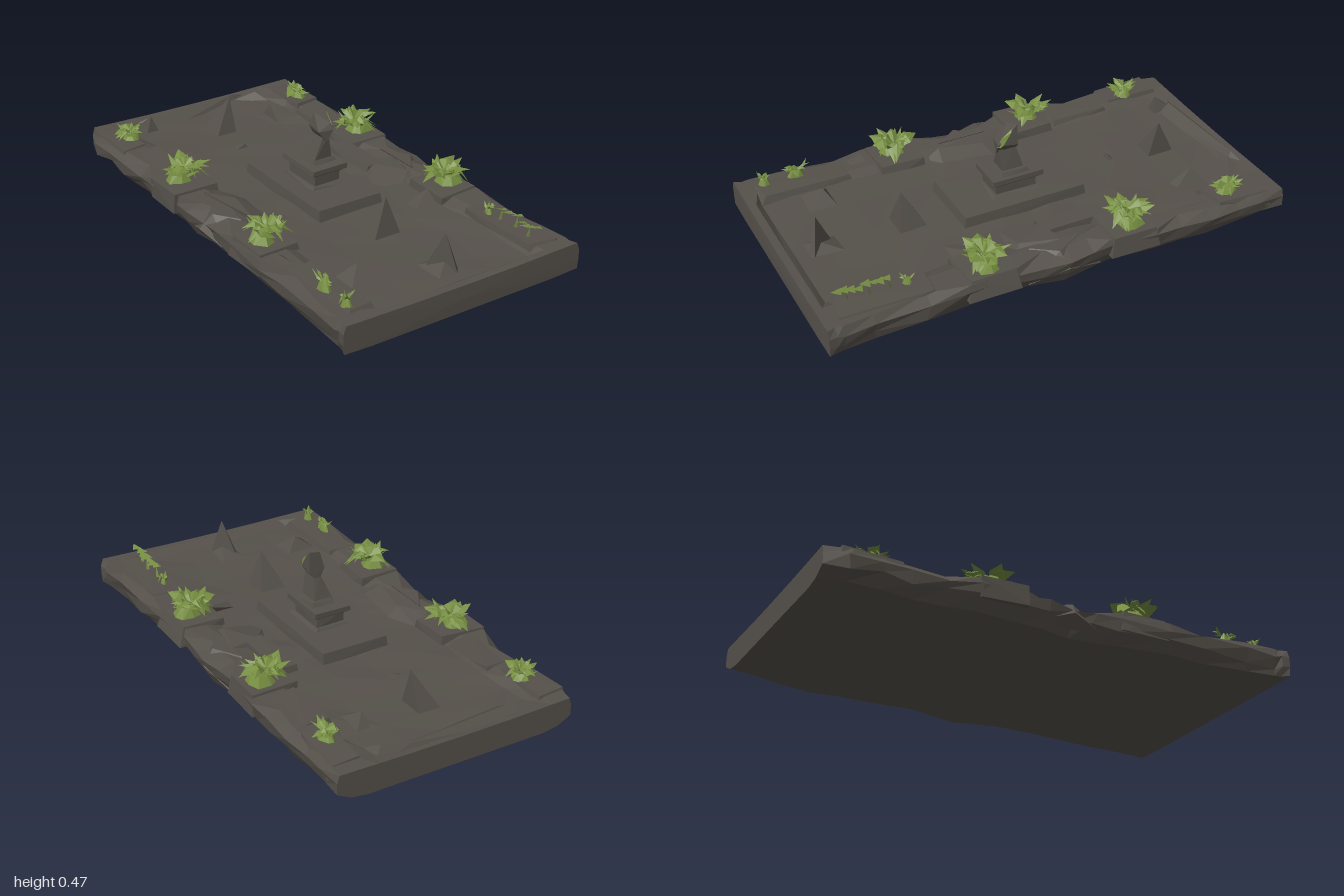
import * as THREE from 'three';
import { ConvexGeometry } from 'three/addons/geometries/ConvexGeometry.js';

const mat = (name, color, side = THREE.FrontSide) => {
  const m = new THREE.MeshStandardMaterial({ color, side });
  m.name = name;
  return m;
};

export function createModel() {
  const group = new THREE.Group();
  const stone = mat('stone', 0x55504a);
  const leafGreen = mat('leaf green', 0x768e41, THREE.DoubleSide);

  let seed = 7;
  const rnd = () => (seed = (seed * 16807) % 2147483647) / 2147483647;
  const jit = (s) => (rnd() * 2 - 1) * s;

  const add = (name, geometry, material = stone) => {
    const mesh = new THREE.Mesh(geometry, material);
    mesh.name = name;
    group.add(mesh);
    return mesh;
  };
  // Faceted geometry from flat triangle coordinates
  const facets = (pos) => {
    const g = new THREE.BufferGeometry();
    g.setAttribute('position', new THREE.Float32BufferAttribute(pos, 3));
    g.computeVertexNormals();
    return g;
  };
  const hull = (name, pts, material) =>
    add(name, new ConvexGeometry(pts.map((p) => new THREE.Vector3(...p))), material);
  // Roughly cut block, narrower on top by "taper"
  const block = (name, [x0, x1], [y0, y1], [z0, z1], taper = 0, rough = 0) => {
    const pts = [];
    for (const [y, t] of [[y0, 0], [y1, taper]])
      for (const x of [x0 + t, x1 - t])
        for (const z of [z0 + t, z1 - t])
          pts.push([x + jit(rough), y + jit(rough * 0.4), z + jit(rough)]);
    return hull(name, pts);
  };
  // Sharp stone on a rectangular foot
  const spike = (name, [x0, x1], [z0, z1], apex, y0 = 0.095) =>
    hull(name, [[x0, y0, z0], [x1, y0, z0], [x1, y0, z1], [x0, y0, z1], apex]);

  // Slab: cross-sections along z as [z, left half width, right half width, edge bottom y, bevel, bottom inset]
  const stations = [
    [-1, 0.5, 0.53, 0.03, 0.01, 0.06], [-0.9, 0.535, 0.535, 0.025, 0.02, 0.06], [-0.78, 0.53, 0.53, 0.015, 0.03, 0.04],
    [-0.65, 0.53, 0.54, 0.008, 0.04, 0.045], [-0.52, 0.525, 0.535, 0.012, 0.05, 0.045], [-0.4, 0.54, 0.54, 0.014, 0.01, 0.045],
    [-0.2, 0.53, 0.52, 0.012, 0.01, 0.045], [-0.1, 0.54, 0.53, 0.004, 0.07, 0.045], [0, 0.52, 0.545, 0, 0.08, 0.045],
    [0.1, 0.525, 0.53, 0.004, 0.07, 0.045], [0.21, 0.53, 0.52, 0.01, 0.01, 0.045], [0.43, 0.54, 0.535, 0.017, 0.01, 0.04],
    [0.6, 0.54, 0.54, 0.012, 0.05, 0.04], [0.8, 0.545, 0.54, 0.016, 0.02, 0.03], [0.935, 0.545, 0.545, 0.02, 0.015, 0.02],
    [0.965, 0.545, 0.545, 0.02, 0.02, 0.015], [0.998, 0.55, 0.548, 0.025, 0.012, 0.004],
  ];
  const sections = stations.map(([z, l, r, b, bevel, inset], i) => {
    const end = i === 0 || i >= stations.length - 2;
    const k = end ? 0 : 1;
    const floor = z > 0.3 ? 0.108 : 0.112;
    const side = (w) => [
      [w - 0.13, 0.02], [w - inset, b], [w - 0.01 * k + jit(0.008) * k, 0.06 + jit(0.015) * k],
      [w, 0.105 + jit(0.01) * k], [w - bevel, 0.137],
      [0.41 + jit(0.02), 0.135], [0.35 + jit(0.02), end ? 0.134 : floor + 0.004 + jit(0.006)],
      [0.2 + jit(0.04), end ? 0.131 : floor + jit(0.006)],
    ];
    const right = side(r);
    const left = side(l).map(([x, y]) => [-x, y]).reverse();
    return [...right, [jit(0.03), end ? 0.13 : floor + jit(0.004)], ...left]
      .map(([x, y], j) => [x, y, z + (i === 0 || i > 13 || j < 2 || j > 14 ? 0 : jit(0.015))]);
  });
  const slab = [];
  const n = sections[0].length;
  for (let i = 0; i < sections.length - 1; i++)
    for (let j = 0; j < n; j++) {
      const k = (j + 1) % n;
      const [a, b, c, d] = [sections[i][j], sections[i][k], sections[i + 1][k], sections[i + 1][j]];
      slab.push(...a, ...b, ...d, ...b, ...c, ...d);
    }
  const [back, front] = [sections[0], sections[sections.length - 1]];
  for (let j = 0; j < n; j++) {
    const k = (j + 1) % n;
    slab.push(0, 0.075, -1, ...back[k], ...back[j], 0, 0.075, 1, ...front[j], ...front[k]);
  }
  add('slab', facets(slab));

  // Edge platforms, corner blocks and stepped ledges on both sides
  for (const s of [-1, 1]) {
    const span = (a, b) => (s > 0 ? [a, b] : [-b, -a]);
    block('rearPlatform', span(0.33, 0.54), [0.06, 0.147], [-0.4, -0.19], 0.012, 0.01);
    block('frontPlatform', span(0.33, 0.535), [0.06, 0.147], [0.21, 0.43], 0.012, 0.01);
    block('rearCornerBlock', span(0.37, 0.52), [0.08, 0.145], [-0.95, -0.68], 0.02, 0.012);
    block('rearLedge', span(0.35, 0.47), [0.09, 0.141], [-0.68, -0.4], 0.015, 0.012);
    block('frontCornerBlock', span(0.35, 0.51), [0.08, 0.142], [0.52, 0.95], 0.025, 0.012);
    // Chipped stone between the platforms
    hull('sideBulge', [[s * 0.5, 0.03, -0.16], [s * 0.5, 0.03, 0.16], [s * 0.54, 0.08, 0],
      [s * 0.42, 0.14, -0.1], [s * 0.42, 0.14, 0.12], [s * 0.49, 0.14, 0.02]]);
  }
  hull('leftSlope', [[-0.33, 0.095, -0.28], [-0.25, 0.095, -0.08], [-0.26, 0.095, 0.16], [-0.36, 0.095, 0.24],
    [-0.42, 0.095, -0.2], [-0.34, 0.14, -0.05], [-0.38, 0.146, 0.14], [-0.42, 0.14, -0.16]]);
  block('rightStep', [0.26, 0.36], [0.09, 0.142], [-0.27, 0.02], 0.008, 0.006);
  hull('rightSlope', [[0.25, 0.095, -0.02], [0.17, 0.095, 0.17], [0.3, 0.095, 0.2], [0.42, 0.095, 0.2],
    [0.3, 0.143, 0.0], [0.38, 0.145, 0.14], [0.42, 0.14, -0.02]]);

  // Broken rim at the back
  hull('rearRim', [[-0.35, 0.095, -0.99], [0.36, 0.095, -0.99], [-0.24, 0.095, -0.85], [-0.02, 0.095, -0.91],
    [0.22, 0.095, -0.93], [-0.25, 0.15, -0.93], [0.2, 0.146, -0.96]]);
  hull('rearRimRock', [[0.1, 0.095, -0.97], [0.36, 0.095, -0.97], [0.36, 0.095, -0.83], [0.2, 0.095, -0.92],
    [0.3, 0.15, -0.92]]);
  spike('rearLeftRock', [-0.31, -0.24], [-0.97, -0.85], [-0.275, 0.185, -0.87]);

  // Sharp stones rising from the floor
  spike('frontSpikeFoot', [-0.06, 0.075], [0.72, 0.9], [0.02, 0.15, 0.84]);
  hull('frontSpike', [[-0.03, 0.1, 0.78], [-0.015, 0.1, 0.765], [0.065, 0.1, 0.87], [0.045, 0.1, 0.89],
    [0.02, 0.265, 0.84]]);
  spike('middleSpike', [-0.06, 0.07], [0.385, 0.51], [0.015, 0.265, 0.48]);
  spike('rearSpike', [-0.07, 0.035], [-0.78, -0.65], [0.03, 0.265, -0.7]);
  spike('leftShard', [-0.38, -0.21], [0.65, 0.8], [-0.28, 0.17, 0.7]);
  spike('rightShard', [0.24, 0.31], [-0.77, -0.61], [0.255, 0.168, -0.72]);
  spike('leftWedge', [-0.5, -0.38], [0.43, 0.65], [-0.47, 0.155, 0.46]);
  spike('rightWedge', [0.17, 0.47], [0.34, 0.43], [0.36, 0.15, 0.32]);
  spike('floorRidge', [-0.12, 0.0], [-0.53, -0.48], [-0.02, 0.13, -0.49]);

  // Plinth and pedestal
  block('plinth', [-0.15, 0.155], [0.095, 0.156], [-0.28, 0.27], 0.006, 0.005);
  block('pedestalFoot', [-0.07, 0.09], [0.15, 0.168], [-0.11, 0.11], 0.01, 0.004);
  block('pedestalColumn', [-0.052, 0.073], [0.16, 0.22], [-0.09, 0.09], 0, 0.003);
  hull('pedestalCap', [[-0.05, 0.205], [-0.07, 0.222], [-0.068, 0.242], [0.075, 0.205], [0.095, 0.222], [0.094, 0.244]]
    .flatMap(([x, y]) => [[x, y, y < 0.21 ? -0.09 : -0.115], [x, y, y < 0.21 ? 0.085 : 0.11]]));
  block('pedestalTop', [-0.03, 0.08], [0.238, 0.262], [-0.06, 0.065], 0.01, 0.004);

  // Broken statue: flared body, narrow waist and a jagged leaning upper block
  hull('statueBody', [[-0.03, 0.25, -0.045], [0.058, 0.25, -0.045], [0.058, 0.25, 0.052], [-0.03, 0.25, 0.052],
    [0.015, 0.365, -0.015], [0.04, 0.365, -0.012], [0.038, 0.36, 0.06], [0.015, 0.36, 0.055]]);
  hull('statueHead', [[0.014, 0.35, -0.018], [0.04, 0.35, -0.018], [0.025, 0.335, 0.065], [-0.012, 0.385, 0.06],
    [0.055, 0.385, 0.07], [0.064, 0.375, -0.015], [0.003, 0.45, 0.005], [0.06, 0.468, -0.012],
    [-0.005, 0.39, -0.018], [0.05, 0.41, 0.055]]);
  hull('statueMoss', [[0.046, 0.375, 0.072], [0.058, 0.375, 0.062], [0.062, 0.385, 0.05],
    [0.063, 0.44, 0.014], [0.053, 0.412, 0.056], [0.056, 0.45, 0.012]], leafGreen);

  // Bush: low leafy mound with ragged, creased leaves spreading at uneven heights
  const bush = (name, x, z, r, h, count, lean = 0, stretch = 1) => {
    const pos = [];
    const y = 0.14;
    for (let i = 0; i < count; i++) {
      const a = i * 2.4 + jit(0.6);
      const len = r * (0.6 + rnd() * 0.55);
      const w = len * (0.16 + rnd() * 0.2);
      const rise = h * (0.55 + rnd() * 0.4);
      const twist = jit(0.35) * w;
      const at = (d, sideways, up) => [
        x + Math.cos(a) * d - Math.sin(a) * sideways, y + up,
        z + (Math.sin(a) * d + Math.cos(a) * sideways) * stretch,
      ];
      const root = at(-0.1 * len, 0, rise * (0.3 + rnd() * 0.4));
      const mid = at(len * 0.5, 0, rise);
      const l = at(len * 0.55, w, rise * 0.85 + twist);
      const q = at(len * 0.55, -w, rise * 0.85 - twist);
      const tip = at(len, jit(0.2) * len, h * (i % 4 ? 0.6 + rnd() * 0.38 : 0.2));
      pos.push(...root, ...l, ...mid, ...root, ...mid, ...q, ...l, ...tip, ...mid, ...mid, ...tip, ...q);
    }
    add(name, facets(pos), leafGreen);
    const mound = [[x + lean * r * 0.3, y + h * 0.6, z]];
    for (let i = 0; i < 7; i++) {
      const a = i * 0.9 + jit(0.2);
      const d = r * (0.5 + rnd() * 0.2);
      mound.push([x + lean * r * 0.25 + Math.cos(a) * d, y, z + Math.sin(a) * d * stretch],
        [x + lean * r * 0.25 + Math.cos(a) * d * 0.55, y + h * (0.35 + rnd() * 0.2), z + Math.sin(a) * d * 0.55 * stretch]);
    }
    hull(name + 'Mound', mound, leafGreen);
  };
  for (const z of [-0.31, 0.32]) {
    bush('leftBush', -0.425, z, 0.098, 0.097, 30, -1);
    bush('rightBush', 0.43, z, 0.098, 0.097, 30, 1);
  }
  bush('rearLeftBush', -0.42, -0.79, 0.068, 0.065, 18);
  bush('rearRightBush', 0.44, -0.78, 0.055, 0.065, 16, 0, 1.6);
  bush('frontLeftSprig', -0.46, 0.75, 0.032, 0.07, 9, 0, 2);
  bush('frontLeftSprig', -0.46, 0.89, 0.034, 0.065, 8, 0, 1.2);

  // Thin trailing sprig: a raised frond on stalks
  const frond = [];
  for (let i = 0; i < 8; i++) {
    const z = 0.69 + i * 0.028;
    const [x, y, w] = [0.41 + jit(0.008), 0.2 + jit(0.01), 0.012 + rnd() * 0.012];
    frond.push(x - w, y - 0.008, z, x, y, z + 0.05, x + w, y - 0.01, z + 0.012);
    if (i % 3 === 0) frond.push(x - 0.006, 0.138, z, x + 0.006, 0.138, z + 0.01, x, y, z + 0.02);
  }
  add('frontRightSprig', facets(frond), leafGreen);
  bush('frontRightTuft', 0.41, 0.63, 0.026, 0.05, 6, 0, 1.3);
  return group;
}
